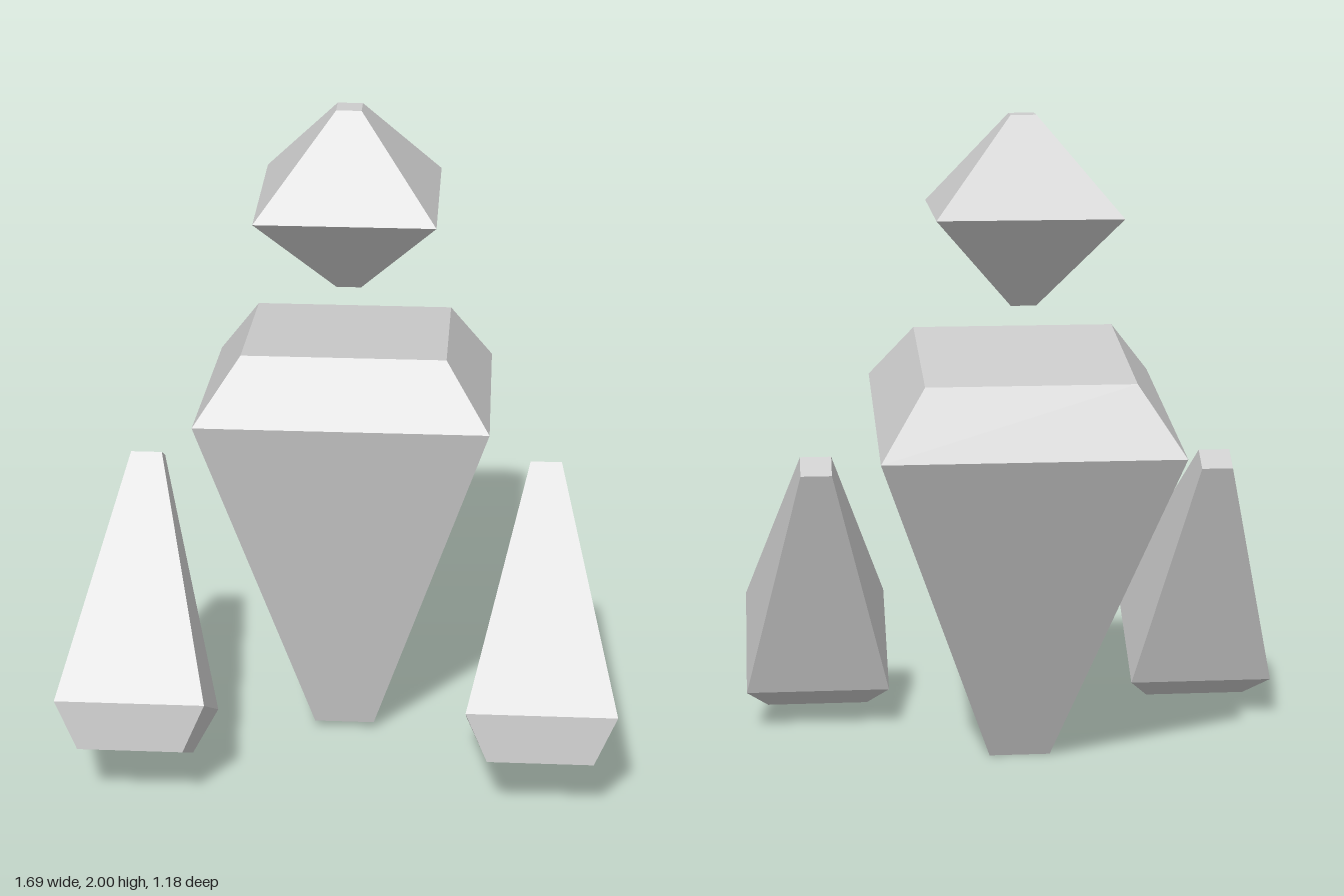
import * as THREE from 'three';

// Solid from rectangular rings, listed bottom to top.
// Ring: [half width, front z, front y, back z, back y]
function ringSolid(name, rings) {
  const corners = rings.map(([w, zf, yf, zb, yb]) => [
    [-w, yf, zf], [w, yf, zf], [w, yb, zb], [-w, yb, zb],
  ]);
  const pos = [];
  const quad = (a, b, c, d) => pos.push(...a, ...b, ...c, ...a, ...c, ...d);
  for (let r = 0; r < corners.length - 1; r++) {
    const low = corners[r], high = corners[r + 1];
    for (let i = 0; i < 4; i++) {
      const j = (i + 1) % 4;
      quad(low[i], low[j], high[j], high[i]);
    }
  }
  const [a, b, c, d] = corners[0];
  quad(d, c, b, a);
  quad(...corners[corners.length - 1]);
  const geometry = new THREE.BufferGeometry();
  geometry.setAttribute('position', new THREE.Float32BufferAttribute(pos, 3));
  geometry.computeVertexNormals();
  const mesh = new THREE.Mesh(
    geometry,
    new THREE.MeshStandardMaterial({ color: 0xcccccc, flatShading: true })
  );
  mesh.name = name;
  return mesh;
}

export function createModel() {
  const model = new THREE.Group();
  model.name = 'floatingGolem';
  const midX = -0.005;

  // Floating head: a blunt double pyramid
  const head = ringSolid('head', [[1.435, 0.038], [1.718, 0.272], [2, 0.038]].map(
    ([y, w]) => [w, w, y, -w, y]
  ));
  head.position.set(midX, 0, -0.187);
  model.add(head);

  // Forward-leaning tapered torso with bevelled shoulders
  const torso = ringSolid('torso', [
    [0.094, 0.076, 0.025, -0.107, 0.002],
    [0.443, 0.287, 1.146, -0.59, 1.036],
    [0.309, 0.13, 1.318, -0.482, 1.24],
  ]);
  torso.position.x = midX;
  model.add(torso);

  // Detached arms, reaching forward and widening to blunt fists
  for (const [name, side] of [['leftArm', 1], ['rightArm', -1]]) {
    const arm = ringSolid(name, [
      [0.16, 0.594, 0.21, 0.333, 0.05],
      [0.227, 0.576, 0.364, 0.203, 0.131],
      [0.048, 0.015, 0.937, -0.06, 0.892],
    ]);
    arm.position.x = midX + side * 0.619;
    model.add(arm);
  }
  return model;
}
